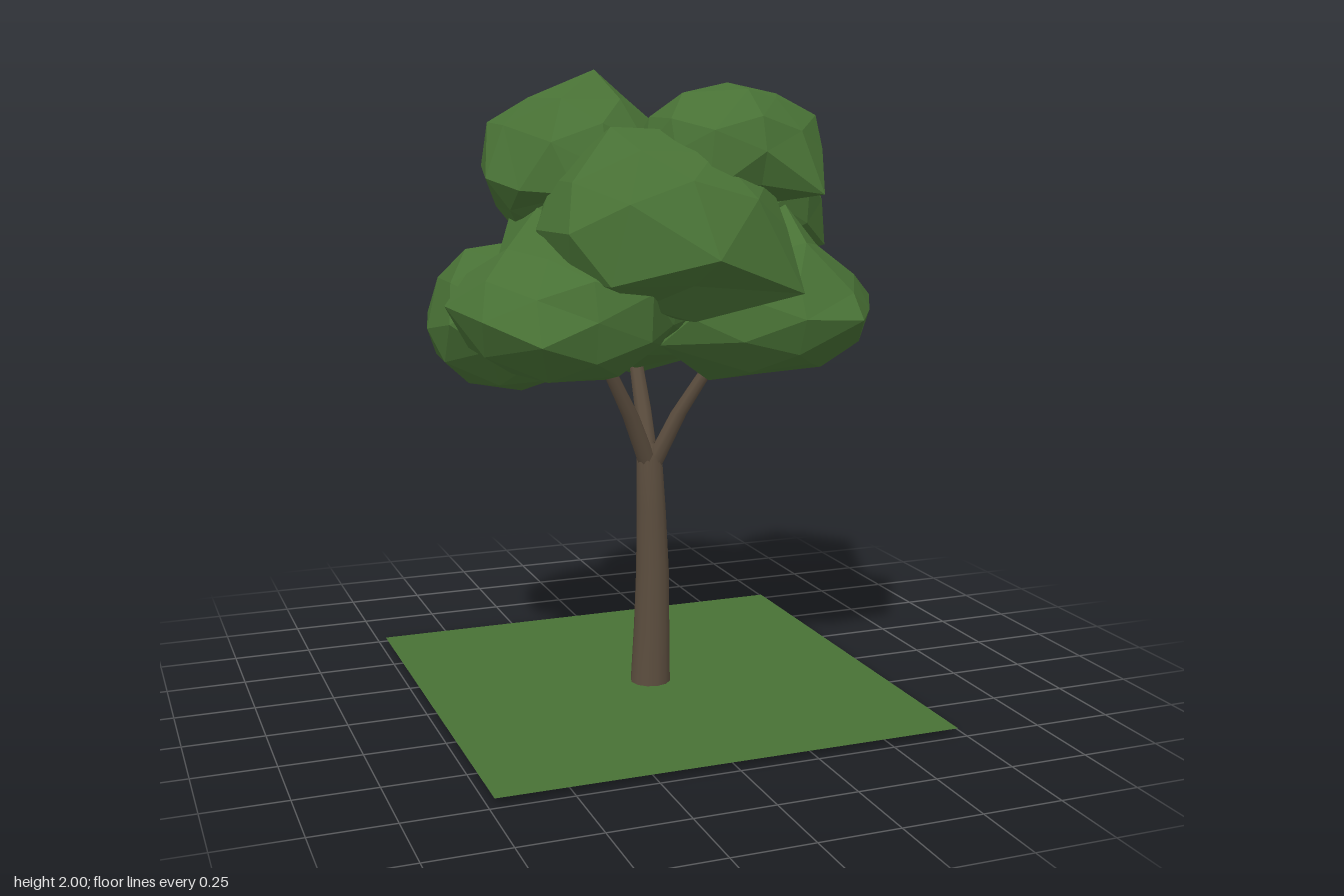
import * as THREE from 'three';
import { mergeVertices } from 'three/addons/utils/BufferGeometryUtils.js';

const V = (p) => new THREE.Vector3(...p);

// Small seeded generator, returns values in -1..1
function seeded(seed) {
  let s = seed * 7919 + 17;
  return () => {
    s = (s * 16807) % 2147483647;
    return (s / 2147483647) * 2 - 1;
  };
}

// Irregular faceted leaf clump; the vertex nearest to each tip is pulled onto it
function clumpGeometry({ center, radius, tips }, seed) {
  const raw = new THREE.IcosahedronGeometry(1, 1);
  raw.deleteAttribute('normal');
  raw.deleteAttribute('uv');
  const geo = mergeVertices(raw, 1e-4);
  const pos = geo.attributes.position;
  const rand = seeded(seed);
  const c = V(center), r = V(radius);
  const dirs = [];
  const p = new THREE.Vector3();
  for (let i = 0; i < pos.count; i++) {
    p.fromBufferAttribute(pos, i);
    dirs.push(p.clone());
    p.multiplyScalar(0.97 + 0.05 * rand()).multiply(r).add(c);
    pos.setXYZ(i, p.x, p.y, p.z);
  }
  const used = new Set();
  for (const t of tips) {
    const d = V(t).sub(c).divide(r).normalize();
    let best = -1;
    dirs.forEach((v, i) => {
      if (!used.has(i) && (best < 0 || v.dot(d) > dirs[best].dot(d))) best = i;
    });
    used.add(best);
    pos.setXYZ(best, ...t);
  }
  const flat = geo.toNonIndexed();
  flat.computeVertexNormals();
  return flat;
}

// Round limb that follows a bent path; each stop is [x, y, z, radius]
function limbGeometry(stops, sides) {
  const geo = new THREE.CylinderGeometry(1, 1, 1, sides, stops.length - 1, true);
  const pos = geo.attributes.position;
  for (let i = 0; i < pos.count; i++) {
    const k = Math.round((pos.getY(i) + 0.5) * (stops.length - 1));
    const [x, y, z, r] = stops[k];
    pos.setXYZ(i, x + pos.getX(i) * r, y, z + pos.getZ(i) * r);
  }
  geo.computeVertexNormals();
  // Keep the seam smooth
  const n = geo.attributes.normal;
  for (let row = 0; row < stops.length; row++) {
    const a = row * (sides + 1), b = a + sides;
    const m = new THREE.Vector3().fromBufferAttribute(n, a)
      .add(new THREE.Vector3().fromBufferAttribute(n, b)).normalize();
    n.setXYZ(a, m.x, m.y, m.z);
    n.setXYZ(b, m.x, m.y, m.z);
  }
  return geo;
}

export function createModel() {
  const model = new THREE.Group();
  model.name = 'tree';

  const green = new THREE.MeshStandardMaterial({ color: 0x487135, flatShading: true, side: THREE.DoubleSide });
  green.name = 'leaf green';
  const bark = new THREE.MeshStandardMaterial({ color: 0x5b4d3e, side: THREE.DoubleSide });
  bark.name = 'bark brown';

  const add = (name, geo, mat, parent = model) => {
    const mesh = new THREE.Mesh(geo, mat);
    mesh.name = name;
    parent.add(mesh);
  };

  // Square lawn
  add('ground', new THREE.PlaneGeometry(1.46, 1.46).rotateX(-Math.PI / 2).translate(0, 0.02, 0), green);

  // Trunk, slightly bent, flaring at the foot
  add('trunk', limbGeometry([
    [0, 0, 0, 0.066],
    [0.005, 0.2, 0, 0.059],
    [0.008, 0.4, 0, 0.054],
    [0.004, 0.6, -0.002, 0.048],
    [-0.003, 0.77, 0, 0.042],
    [-0.003, 0.82, 0, 0.02],
  ], 12), bark);

  // Three branches fanning into the crown
  const branches = { leftBranch: [0.18, 0.1], rightBranch: [-0.18, 0.09], backBranch: [0, -0.15] };
  for (const [name, [x, z]] of Object.entries(branches)) {
    add(name, limbGeometry([
      [x * 0.02, 0.74, z * 0.02, 0.032],
      [x * 0.45, 0.92, z * 0.45, 0.028],
      [x, 1.1, z, 0.022],
      [x * 1.35, 1.27, z * 1.35, 0.016],
    ], 8), bark);
  }

  // Crown made of leaf clumps around a dense core
  const crown = new THREE.Group();
  crown.name = 'crown';
  model.add(crown);
  const clumps = {
    coreClump: {
      center: [-0.03, 1.42, -0.05], radius: [0.46, 0.36, 0.42],
      tips: [[0, 1.62, -0.46], [0.2, 1.66, -0.34], [0.08, 1.82, -0.12]],
    },
    topBackClump: {
      center: [-0.2, 1.7, -0.13], radius: [0.32, 0.27, 0.31],
      tips: [[-0.15, 2.0, -0.1], [-0.44, 1.83, -0.12], [-0.51, 1.67, -0.08], [-0.2, 1.83, -0.41],
        [-0.45, 1.64, 0.08], [-0.3, 1.63, 0.18], [0.12, 1.72, -0.06]],
    },
    topFrontClump: {
      center: [0.21, 1.76, 0.14], radius: [0.3, 0.2, 0.3],
      tips: [[0.2, 1.96, 0.14], [0.46, 1.84, 0.12], [0.4, 1.63, 0.42], [0.03, 1.64, 0.41],
        [0.2, 1.94, 0.3], [0.22, 1.94, 0]],
    },
    upperLeftClump: {
      center: [0.4, 1.58, -0.19], radius: [0.265, 0.22, 0.28],
      tips: [[0.56, 1.79, -0.17], [0.655, 1.68, -0.2], [0.65, 1.54, -0.34], [0.65, 1.43, -0.08]],
    },
    frontClump: {
      center: [-0.04, 1.53, 0.18], radius: [0.4, 0.3, 0.35],
      tips: [[0, 1.46, 0.575], [-0.2, 1.83, 0.2], [0.32, 1.34, 0.46], [-0.28, 1.38, 0.43], [0, 1.26, 0.38]],
    },
    lowerRightClump: {
      center: [-0.32, 1.28, 0.14], radius: [0.36, 0.23, 0.32],
      tips: [[-0.7, 1.31, 0.14], [-0.5, 1.22, 0.47], [-0.4, 1.59, 0.1], [-0.03, 1.24, 0.28], [-0.2, 1.06, 0.14]],
    },
    lowerLeftClump: {
      center: [0.33, 1.26, 0.12], radius: [0.36, 0.22, 0.35],
      tips: [[0.73, 1.28, 0.09], [0.53, 1.06, 0.15], [0.52, 1.25, 0.46], [0.42, 1.58, 0.1], [0.16, 1.03, 0.1],
        [-0.05, 1.17, 0.22], [0.38, 1.48, 0.34], [0.45, 1.36, -0.24]],
    },
    backRightClump: {
      center: [-0.4, 1.23, -0.18], radius: [0.285, 0.25, 0.29],
      tips: [[-0.37, 0.98, -0.2], [-0.68, 1.2, -0.18], [-0.64, 1.1, -0.12], [-0.38, 1.36, -0.46]],
    },
    backClump: {
      center: [0.1, 1.27, -0.37], radius: [0.33, 0.28, 0.3],
      tips: [[0.07, 1.43, -0.675], [0.07, 1.25, -0.67], [0.42, 1.24, -0.54], [0.06, 0.99, -0.32],
        [-0.24, 1.38, -0.48], [0.08, 1.53, -0.52]],
    },
  };
  Object.entries(clumps).forEach(([name, spec], i) => add(name, clumpGeometry(spec, i + 1), green, crown));

  return model;
}
